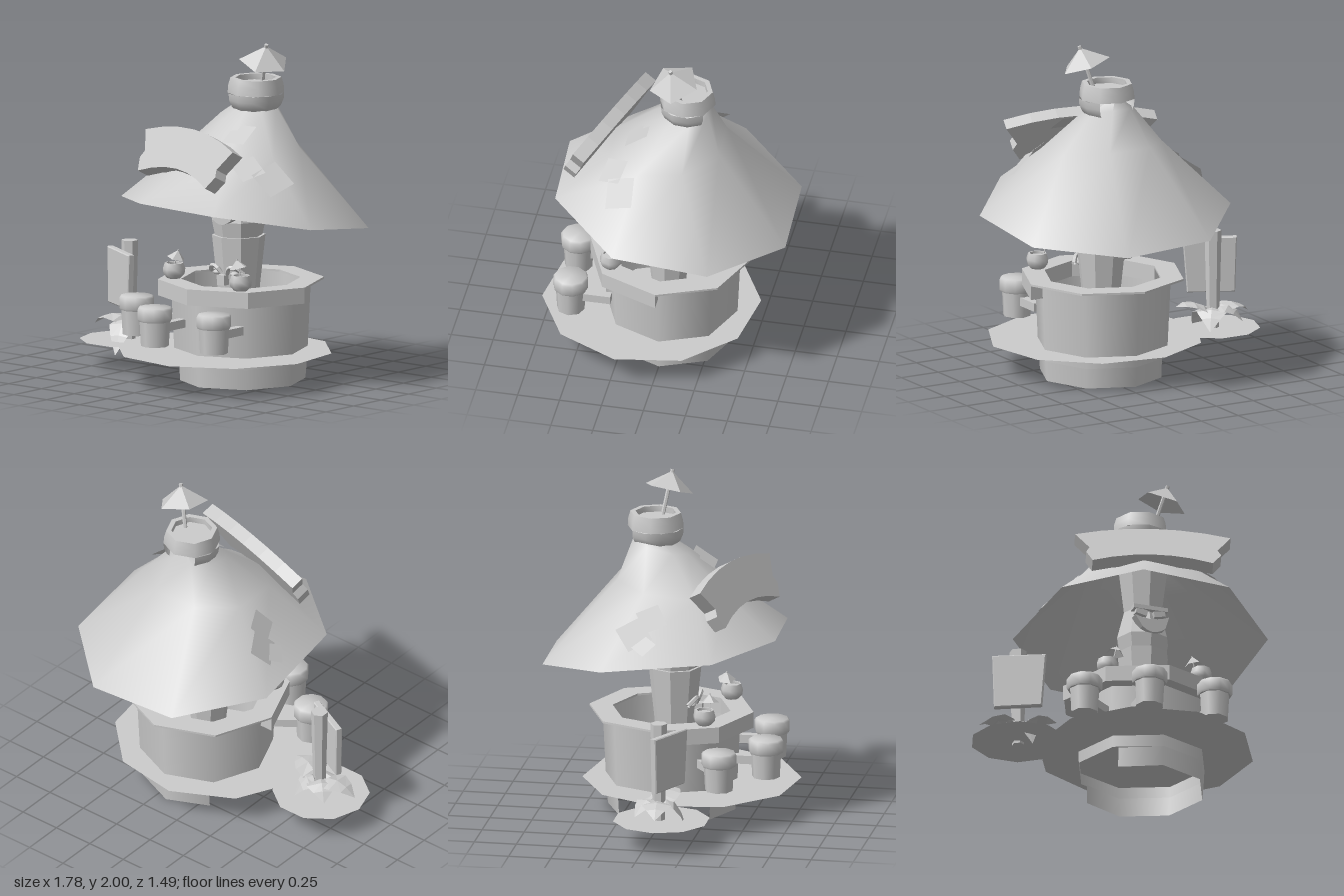
import * as THREE from 'three';
import { toCreasedNormals } from 'three/addons/utils/BufferGeometryUtils.js';

const flat = new THREE.MeshStandardMaterial({ color: 0xcccccc, flatShading: true, side: THREE.DoubleSide });
const smooth = new THREE.MeshStandardMaterial({ color: 0xcccccc, side: THREE.DoubleSide });
const V = (x, y, z) => new THREE.Vector3(x, y, z);
const CX = 0.18; // bar axis

export function createModel() {
  const root = new THREE.Group();
  const add = (name, geo, x = 0, y = 0, z = 0, parent = root, mat = flat) => {
    const m = new THREE.Mesh(geo, mat);
    m.name = name;
    m.position.set(x, y, z);
    parent.add(m);
    return m;
  };
  const group = (name, x, y, z, parent = root) => {
    const g = new THREE.Group();
    g.name = name;
    g.position.set(x, y, z);
    parent.add(g);
    return g;
  };
  // cylinder spanning y0..y1
  const drum = (r0, r1, y0, y1, n, open = false) =>
    new THREE.CylinderGeometry(r1, r0, y1 - y0, n, 1, open).translate(0, (y0 + y1) / 2, 0);
  const lathe = (pts, n, start = 0, len = Math.PI * 2) =>
    toCreasedNormals(new THREE.LatheGeometry(pts.map(p => new THREE.Vector2(...p)), n, start, len), 1);

  // ground discs
  add('barGround', new THREE.CircleGeometry(0.64, 10, 0.48).rotateX(-Math.PI / 2), 0.16, 0.19, 0.125);
  add('signGround', new THREE.CircleGeometry(0.285, 10).rotateX(-Math.PI / 2), -0.61, 0.155, 0.085);

  // bar wall and its open base, missing on one side
  add('barWall', drum(0.388, 0.41, 0.12, 0.585, 8, true), CX, 0, 0, root, smooth);
  const base = new THREE.CylinderGeometry(0.388, 0.378, 0.12, 6, 1, true, -Math.PI / 4, Math.PI * 1.5);
  const bp = base.attributes.position;
  for (let i = 0; i < bp.count; i++) bp.setX(i, Math.max(bp.getX(i), -0.06 - CX));
  add('barBase', base, CX, 0.06, 0, root, smooth);

  // counter: deep front half, thin back half
  const counterHalf = (name, from, depth, y) => {
    const arc = r => Array.from({ length: 5 }, (_, i) => {
      const a = from + i * Math.PI / 4;
      return new THREE.Vector2(r * Math.cos(a), r * Math.sin(a));
    });
    const s = new THREE.Shape([...arc(0.487), ...arc(0.35).reverse()]);
    add(name, new THREE.ExtrudeGeometry(s, { depth, bevelEnabled: false }).rotateX(-Math.PI / 2), CX, y, 0);
  };
  counterHalf('counterFront', Math.PI, 0.095, 0.503);
  counterHalf('counterBack', 0, 0.012, 0.586);

  // stools with arms to the bar
  for (const [x, z, turn, reach] of [[-0.305, 0.37, 2.22, 0.25], [0.02, 0.59, Math.PI, 0.25], [0.437, 0.55, Math.PI, 0.24]]) {
    const g = group('stool', x, 0, z);
    add('stoolLeg', drum(0.082, 0.09, 0.26, 0.41, 8), 0, 0, 0, g, smooth);
    add('stoolSeat', lathe([[0, 0.408], [0.098, 0.408], [0.104, 0.42], [0.104, 0.478], [0.094, 0.49], [0, 0.49]], 10), 0, 0, 0, g, smooth);
    add('stoolArm', new THREE.BoxGeometry(0.05, 0.05, reach).translate(0, 0, reach / 2), 0, 0.36, 0, g).rotation.y = turn;
  }

  // cocktail umbrella
  const umbrella = (parent, r, h, stick, x, y, z, tiltX, tiltZ) => {
    const g = group('umbrella', x, y, z, parent);
    g.rotation.set(tiltX, 0.3, tiltZ);
    add('umbrellaStick', drum(r * 0.08, r * 0.08, 0, stick, 6), 0, 0, 0, g);
    add('umbrellaCanopy', new THREE.ConeGeometry(r, h, 5, 1, true), 0, stick - h / 2 - r * 0.07, 0, g);
  };

  // two drinks on the counter
  for (const [x, z, side] of [[-0.12, 0.25, 1], [0.44, 0.31, -1]]) {
    const g = group('drink', x, 0.598, z);
    add('drinkCup', lathe([[0, 0], [0.04, 0], [0.062, 0.025], [0.066, 0.055], [0.055, 0.09], [0.045, 0.09], [0.045, 0.075], [0, 0.075]], 8), 0, 0, 0, g, smooth);
    umbrella(g, 0.055, 0.05, 0.12, side * 0.022, 0.06, 0.28 - z, 0, -side * 0.25);
  }

  // carved centre pole
  const pole = group('carvedPole', CX, 0, 0.02);
  add('poleLower', drum(0.085, 0.157, 0.19, 0.86, 8), 0, 0, 0, pole);
  add('poleMiddle', drum(0.14, 0.158, 0.86, 0.95, 8), 0, 0, 0, pole);
  add('poleUpper', drum(0.158, 0.115, 0.95, 1.12, 8), 0, 0, 0, pole);
  add('poleTop', drum(0.115, 0.15, 1.12, 1.4, 8), 0, 0, 0, pole);
  for (const s of [-1, 1]) {
    const brow = new THREE.CatmullRomCurve3([V(s * 0.02, 0.645, 0.13), V(s * 0.05, 0.685, 0.145), V(s * 0.09, 0.685, 0.135), V(s * 0.125, 0.65, 0.1)]);
    add('lowerBrow', new THREE.TubeGeometry(brow, 8, 0.014, 5), 0, 0, 0, pole);
    add('lowerEye', new THREE.SphereGeometry(0.03, 8, 5).scale(1, 0.5, 0.8), s * 0.065, 0.645, 0.115, pole, smooth);
    add('upperEye', new THREE.BoxGeometry(0.07, 0.035, 0.04), s * 0.055, 1.075, 0.125, pole).rotation.z = s * 0.2;
  }
  add('lowerNose', new THREE.BoxGeometry(0.05, 0.06, 0.07), 0, 0.61, 0.13, pole);
  add('upperBrow', new THREE.BoxGeometry(0.21, 0.025, 0.06), 0, 1.105, 0.12, pole);
  const mouth = new THREE.Shape();
  mouth.moveTo(-0.105, 1.04);
  mouth.quadraticCurveTo(0, 1.0, 0.105, 1.05);
  mouth.lineTo(0.08, 0.97);
  mouth.quadraticCurveTo(0, 0.91, -0.06, 0.97);
  add('upperMouth', new THREE.ExtrudeGeometry(mouth, { depth: 0.06, bevelEnabled: false, curveSegments: 5 }), 0, 0, 0.11, pole);

  // thatched roof: lopsided eight-sided rim sweeping up to a leaning tip
  const rim = [[-0.13, 0.915, -0.71], [0.44, 0.89, -0.73], [0.86, 0.925, -0.35], [0.89, 0.995, 0.21],
    [0.5, 1.085, 0.63], [-0.04, 1.105, 0.655], [-0.44, 1.06, 0.35], [-0.51, 1.0, -0.3]].map(p => V(...p));
  const roofPos = [], roofIdx = [];
  const tip = V(0.2, 1.72, -0.185);
  const ringAt = (p, level) => {
    const a = Math.atan2(p.x - 0.19, p.z + 0.03), s = Math.sin(a), c = Math.cos(a);
    if (level === 0) return p;
    if (level === 1) return V(0.19 + 0.37 * s, 1.37 - 0.04 * c, 0.02 + 0.35 * c);
    if (level === 2) return V(0.19 + 0.16 * s, 1.595 - 0.045 * c, -0.06 + 0.175 * c);
    return tip;
  };
  for (let l = 0; l < 4; l++) for (let i = 0; i < 8; i++) {
    roofPos.push(...ringAt(rim[i], l).toArray());
    const a = l * 8 + i, b = l * 8 + (i + 1) % 8;
    if (l < 3) roofIdx.push(b, a, a + 8);
    if (l < 2) roofIdx.push(b, a + 8, b + 8);
  }
  const roofGeo = new THREE.BufferGeometry();
  roofGeo.setAttribute('position', new THREE.Float32BufferAttribute(roofPos, 3));
  roofGeo.setIndex(roofIdx);
  roofGeo.computeVertexNormals();
  const roof = add('thatchRoof', roofGeo, 0, 0, 0, root, smooth);

  // thin patches laid on the roof
  const ray = new THREE.Raycaster();
  roof.updateMatrixWorld(true);
  for (const [x, z, size, spin, normal] of [[0.315, 0.165, 0.155, 0.05, V(0, 0.83, 0.55)], [0.47, 0.28, 0.15, 0.5], [0.6, 0.215, 0.18, 0.5],
    [-0.33, -0.13, 0.16, 0.5], [-0.25, -0.04, 0.14, 0.4], [-0.37, -0.07, 0.11, 0.9]]) {
    ray.set(V(x, 3, z), V(0, -1, 0));
    const hit = ray.intersectObject(roof)[0];
    const n = normal ?? hit.face.normal;
    const p = add('roofPatch', new THREE.PlaneGeometry(size, size));
    p.position.copy(hit.point).addScaledVector(n, 0.018);
    p.lookAt(p.position.clone().add(n));
    p.rotateZ(spin);
  }

  // arched board with notched ends
  const board = new THREE.Shape();
  board.moveTo(-0.455, 0.09);
  board.quadraticCurveTo(0, 0.235, 0.455, 0.09);
  board.lineTo(0.375, -0.035);
  board.lineTo(0.395, -0.08);
  board.lineTo(0.345, -0.16);
  board.quadraticCurveTo(0, -0.02, -0.36, -0.16);
  board.lineTo(-0.395, -0.08);
  board.lineTo(-0.375, -0.035);
  const boardMesh = add('roofBoard', new THREE.ExtrudeGeometry(board, { depth: 0.08, bevelEnabled: false, curveSegments: 6 }).translate(0, 0, -0.08), 0.1, 1.38, 0.43);
  boardMesh.rotation.set(-0.5, -0.28, 0, 'YXZ');

  // coconut cup on the roof tip, chipped at the lower back
  const cup = group('coconutCup', 0.21, 0, -0.1);
  add('coconutRim', lathe([[0.166, 1.69], [0.163, 1.735], [0.15, 1.78], [0.12, 1.78], [0.12, 1.745], [0, 1.745]], 8), 0, 0, 0, cup, smooth);
  add('coconutBowl', lathe([[0.1, 1.57], [0.145, 1.61], [0.163, 1.65], [0.166, 1.69]], 8, -Math.PI * 0.75, Math.PI * 1.5), 0, 0, 0, cup, smooth);
  umbrella(root, 0.15, 0.105, 0.295, 0.275, 1.72, -0.075, 0.26, -0.28);

  // signpost
  const post = group('signpost', -0.61, 0, 0.07);
  add('post', drum(0.035, 0.05, 0.14, 0.74, 6), 0, 0, 0, post);
  const panel = new THREE.Shape([[-0.155, 0.68], [-0.145, 0.36], [0.125, 0.36], [0.15, 0.675]].map(p => new THREE.Vector2(...p)));
  add('signPanel', new THREE.ExtrudeGeometry(panel, { depth: 0.03, bevelSize: 0.006, bevelThickness: 0.005, bevelSegments: 1 }), -0.005, 0, 0.05, post).rotation.y = -0.46;

  // drooping leaves round the post
  for (const [x, y, z] of [[-0.25, 0.22, 0.02], [0.22, 0.29, 0.06], [0.03, 0.08, 0.17], [0.09, 0.16, -0.12], [-0.13, 0.2, -0.12]]) {
    const g = new THREE.PlaneGeometry(1, 1, 2, 4);
    const p = g.attributes.position;
    const len = Math.hypot(x, z);
    for (let i = 0; i < p.count; i++) {
      const u = p.getX(i), t = p.getY(i) + 0.5;
      const w = u * 0.18 * Math.sin(Math.PI * (0.15 + 0.85 * t));
      const h = 0.25 + (y - 0.25) * t * t + 0.2 * t * (1 - t) - Math.abs(u) * 0.06 * (1 - t);
      p.setXYZ(i, x * t - (z / len) * w, h, z * t + (x / len) * w);
    }
    g.computeVertexNormals();
    add('leaf', g, 0, 0, 0, post);
  }
  return root;
}
